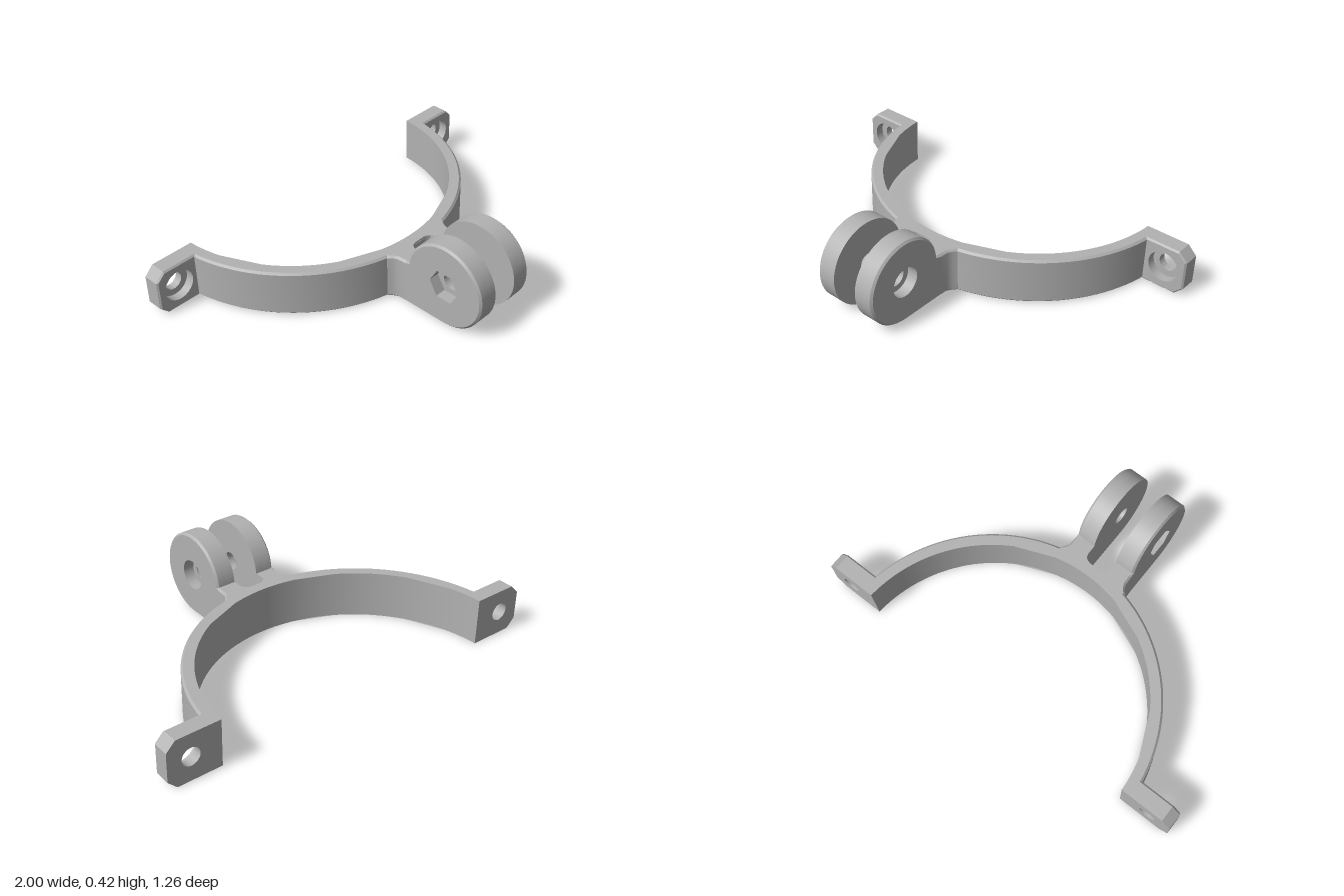
import * as THREE from 'three';
import { toCreasedNormals } from 'three/addons/utils/BufferGeometryUtils.js';

const H = 0.235;                              // band height
const C = 0.01;                               // edge chamfer
const RING = { z: -0.666, inner: 0.736, outer: 0.795, back: -0.63 };
const EYE = { z: 0.4185, y: 0.2125, r: 0.2125 };

// Extrude a shape through the given levels; inset(v, i) may shift a vertex at level i
function slab(shape, levels, inset) {
  const n = levels.length - 1;
  const geo = new THREE.ExtrudeGeometry(shape, { depth: n, steps: n, bevelEnabled: false, curveSegments: 32 });
  const pos = geo.attributes.position;
  const v = new THREE.Vector3();
  for (let k = 0; k < pos.count; k++) {
    v.fromBufferAttribute(pos, k);
    const i = Math.round(v.z);
    if (inset) inset(v, i);
    pos.setXYZ(k, v.x, v.y, levels[i]);
  }
  return toCreasedNormals(geo, 0.5);
}

const polygon = (pts) => new THREE.Shape(pts.map(([x, y]) => new THREE.Vector2(x, y)));

function hole(shape, x, y, r, sides = 40) {
  const pts = [];
  for (let i = 0; i < sides; i++) {
    const a = (i / sides) * Math.PI * 2;
    pts.push(new THREE.Vector2(x + r * Math.cos(a), y + r * Math.sin(a)));
  }
  shape.holes.push(new THREE.Path(pts));
  return shape;
}

// Half-round band, drawn in plan (x, -z)
function bandGeometry() {
  const pts = [];
  const arc = (r, flip) => {
    const a0 = Math.asin((RING.back - RING.z) / r);
    for (let i = 0; i <= 64; i++) {
      const t = flip ? 1 - i / 64 : i / 64;
      const a = a0 + (Math.PI - 2 * a0) * t;
      pts.push([r * Math.cos(a), -(RING.z + r * Math.sin(a))]);
    }
  };
  arc(RING.outer, false);
  arc(RING.inner, true);
  const geo = slab(polygon(pts), [0, C, H - C, H], (v, i) => {
    const r = Math.hypot(v.x, -v.y - RING.z);
    if ((i === 0 || i === 3) && r > 0.78) {
      const k = (r - C) / r;
      v.x *= k;
      v.y = -(RING.z + (-v.y - RING.z) * k);
    }
  });
  return geo.rotateX(-Math.PI / 2);
}

// Flared root joining the two prongs to the band
function rootGeometry() {
  const half = [[0.2, 0.07], [0.195, 0.105], [0.18, 0.122], [0.168, 0.145], [0.165, 0.2],
    [0.065, 0.2], [0.065, 0.16], [0.058, 0.141], [0.045, 0.131], [0.028, 0.127]];
  const pts = [...half, ...half.map(([x, z]) => [-x, z]).reverse(), [0, 0.09]];
  const geo = slab(polygon(pts.map(([x, z]) => [x, -z])), [0, C, H - C, H], (v, i) => {
    if ((i === 0 || i === 3) && Math.abs(v.x) > 0.16) v.x -= Math.sign(v.x) * C;
  });
  return geo.rotateX(-Math.PI / 2);
}

// Side outline of a prong, drawn in (-side * z, y)
function prongShape(side) {
  const pts = [[0.19, H], [0.19, 0]];
  const end = Math.PI - Math.asin((H - EYE.y) / EYE.r);
  for (let i = 0; i <= 56; i++) {
    const a = -Math.PI / 2 + (end + Math.PI / 2) * (i / 56);
    pts.push([EYE.z + EYE.r * Math.cos(a), EYE.y + EYE.r * Math.sin(a)]);
  }
  return polygon(pts.map(([z, y]) => [-side * z, y]));
}

// Chamfer the prong outline on its outer face
function prongInset(side) {
  return (v, i) => {
    if (i !== 2) return;
    const dz = -side * v.x - EYE.z, dy = v.y - EYE.y, r = Math.hypot(dz, dy);
    if (r < 0.15) return;
    if (dz > -0.215) {
      const k = (r - C) / r;
      v.x = -side * (EYE.z + dz * k);
      v.y = EYE.y + dy * k;
    } else {
      v.y = THREE.MathUtils.clamp(v.y, C, H - C);
    }
  };
}

// Ear outline for the +x or -x side
function earShape(side) {
  const c = 0.045;
  return polygon([[0.765, 0], [1 - c, 0], [1, c], [1, H - c], [1 - c, H], [0.765, H]]
    .map(([x, y]) => [side * x, y]));
}

export function createModel() {
  const model = new THREE.Group();
  model.name = 'clampBracket';
  const grey = new THREE.MeshStandardMaterial({ color: 0xb2b2b2 });
  grey.name = 'grey';
  const add = (parent, name, geo) => {
    const mesh = new THREE.Mesh(geo, grey);
    mesh.name = name;
    parent.add(mesh);
  };

  add(model, 'band', bandGeometry());
  add(model, 'forkRoot', rootGeometry());

  for (const side of [1, -1]) {
    const label = side > 0 ? 'left' : 'right';

    // Prong: bolt hole inside, round or hexagonal recess outside
    const prong = new THREE.Group();
    prong.name = label + 'Prong';
    const u = -side * EYE.z;
    const innerShape = hole(prongShape(side), u, EYE.y, 0.045);
    const outerShape = hole(prongShape(side), u, EYE.y, side > 0 ? 0.075 : 0.082, side > 0 ? 40 : 6);
    const turn = side * Math.PI / 2;
    add(prong, 'prongInnerLayer', slab(innerShape, [0.065, 0.11]).rotateY(turn));
    add(prong, 'prongOuterLayer',
      slab(outerShape, [0.11, 0.165 - C, 0.165], prongInset(side)).rotateY(turn));
    model.add(prong);

    // Mounting ear: screw hole at the back, counterbore at the front
    const ear = new THREE.Group();
    ear.name = label + 'Ear';
    const x = side * 0.885, y = 0.12;
    add(ear, 'earBackLayer', slab(hole(earShape(side), x, y, 0.045), [-0.63, -0.59]));
    add(ear, 'earFrontLayer',
      slab(hole(earShape(side), x, y, 0.078), [-0.59, -0.553, -0.545], (v, i) => {
        if (i !== 2) return;
        v.x = THREE.MathUtils.clamp(v.x, -0.992, 0.992);
        v.y = THREE.MathUtils.clamp(v.y, 0.008, H - 0.008);
      }));
    model.add(ear);
  }
  return model;
}
